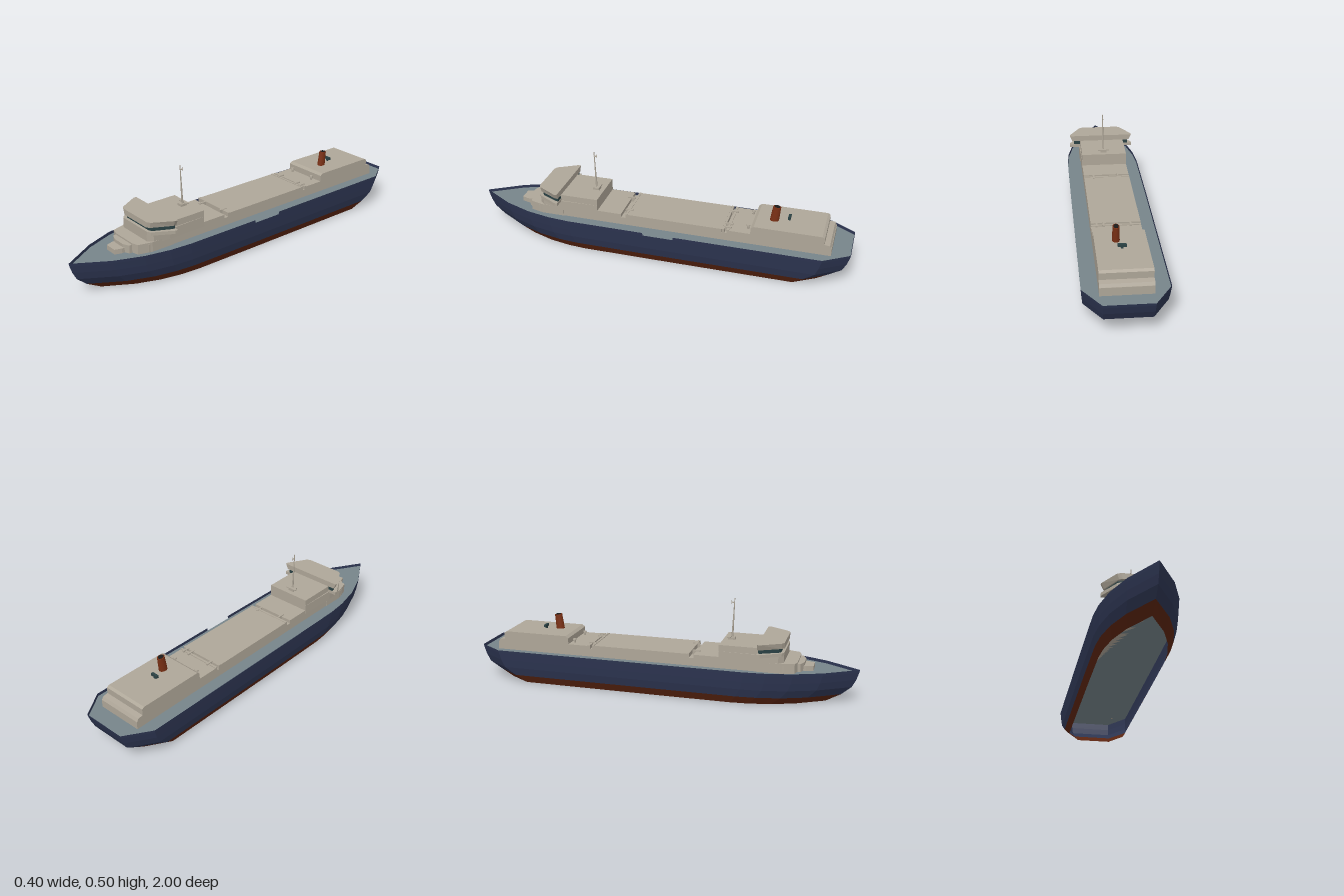
import * as THREE from 'three';

const mat = (name, color) => {
  const m = new THREE.MeshStandardMaterial({ color, side: THREE.DoubleSide });
  m.name = name;
  return m;
};

export function createModel() {
  const ship = new THREE.Group();
  ship.name = 'ship';
  const navy = mat('navy', 0x2c3450);
  const red = mat('antifouling red', 0x5a2410);
  const grey = mat('deck grey', 0x76848a);
  const cream = mat('cream', 0xaea698);
  const glass = mat('dark teal', 0x2a4144);
  const rust = mat('funnel rust', 0x7a3014);
  const black = mat('black', 0x191919);

  const add = (name, geo, material, x = 0, y = 0, z = 0) => {
    const m = new THREE.Mesh(geo, material);
    m.name = name;
    m.position.set(x, y, z);
    ship.add(m);
    return m;
  };
  const box = (name, material, x0, x1, y0, y1, z0, z1) => add(name,
    new THREE.BoxGeometry(x1 - x0, y1 - y0, z1 - z0), material,
    (x0 + x1) / 2, (y0 + y1) / 2, (z0 + z1) / 2);
  const rod = (name, material, r0, r1, h, x, y, z, sides = 8) => add(name,
    new THREE.CylinderGeometry(r1, r0, h, sides), material, x, y + h / 2, z);

  // Half outlines are [x, z] from stern to bow, mirrored into closed plans
  const mirror = half => [...half, ...half.filter(p => p[0] > 0).reverse().map(([x, z]) => [-x, z])];
  const planShape = half => new THREE.Shape(mirror(half).map(([x, z]) => new THREE.Vector2(x, -z)));
  const slab = (name, material, half, y0, y1, x = 0) => {
    const g = new THREE.ExtrudeGeometry(planShape(half), { depth: y1 - y0, bevelEnabled: false });
    g.rotateX(-Math.PI / 2);
    return add(name, g, material, x, y0, 0);
  };

  // Hull: horizontal rings lofted into an open shell
  const ring = (w, bow, stern) => [
    [0.115 * w, stern], [0.2 * w, stern * 0.87], [0.2 * w, -0.12], [0.2 * w, 0.04],
    [0.198 * w, bow * 0.45], [0.188 * w, bow * 0.56], [0.16 * w, bow * 0.69],
    [0.105 * w, bow * 0.83], [0, bow],
  ];
  const levels = [
    [0, 0.8, 0.84, -0.84], [0.042, 0.91, 0.915, -0.9], [0.085, 0.96, 0.965, -0.965],
    [0.125, 0.98, 0.985, -0.985], [0.163, 0.995, 0.997, -0.997], [0.178, 1, 1, -1],
  ].map(([y, w, b, s]) => mirror(ring(w, b, s)).map(([x, z]) => [x, y, z]));
  const shell = (name, material, from, to, skip = -1) => {
    const pos = [];
    for (let l = from; l < to; l++) {
      const a = levels[l], b = levels[l + 1];
      for (let i = 0; i < a.length; i++) {
        if (i === skip) continue;
        const j = (i + 1) % a.length;
        pos.push(...a[i], ...b[j], ...a[j], ...a[i], ...b[i], ...b[j]);
      }
    }
    const g = new THREE.BufferGeometry();
    g.setAttribute('position', new THREE.Float32BufferAttribute(pos, 3));
    g.computeVertexNormals();
    // Turn the faces outward
    const p = g.attributes.position, n = g.attributes.normal;
    if (p.getX(6) * n.getX(6) + p.getZ(6) * n.getZ(6) < 0) {
      for (let t = 0; t < pos.length; t += 9)
        for (let k = 0; k < 3; k++) [pos[t + k], pos[t + 3 + k]] = [pos[t + 3 + k], pos[t + k]];
      g.setAttribute('position', new THREE.Float32BufferAttribute(pos, 3));
      g.computeVertexNormals();
    }
    add(name, g, material);
  };
  shell('lowerHull', red, 0, 1);
  shell('upperHull', navy, 1, 4);
  shell('bulwark', navy, 4, 5, 2); // gap is the boarding gate

  // Main deck, recessed inside the bulwark
  const deck = new THREE.ShapeGeometry(planShape(ring(0.995, 0.997, -0.997)));
  deck.rotateX(-Math.PI / 2);
  add('deck', deck, grey, 0, 0.163, 0);

  // Long low trunk carrying all the deckhouses
  const W = 0.122;
  box('trunk', cream, -W, W, 0.163, 0.204, -0.905, 0.64);
  slab('foreHouse', cream, [[0.125, 0.5], [0.125, 0.62], [0.105, 0.69], [0.07, 0.7]], 0.163, 0.213);
  slab('foreStep', cream, [[0.07, 0.6], [0.07, 0.715], [0.035, 0.73]], 0.163, 0.205);
  slab('forePlatform', cream, [[0.045, 0.6], [0.045, 0.74], [0.033, 0.775]], 0.163, 0.188);

  // Forward house and winged bridge
  slab('bridgeHouse', cream, [[0.123, 0.31], [0.128, 0.52], [0.122, 0.61], [0.1, 0.635]], 0.2, 0.252);
  box('houseTop', cream, -W, W, 0.25, 0.285, 0.31, 0.52);
  const wing = k => [[0.176 * k, 0.51], [0.176 * k, 0.525], [0.118 * k, 0.625], [0.1 * k, 0.635]];
  slab('bridgeWings', cream, wing(1), 0.248, 0.265, 0.005);
  slab('bridgeWindows', glass, [[0.153, 0.512], [0.153, 0.525], [0.11, 0.61], [0.095, 0.62]], 0.265, 0.286, 0.005);
  // Roof flares outward from the windows
  const roof = slab('bridgeRoof', cream, wing(1), 0.285, 0.315, 0.005);
  const rp = roof.geometry.attributes.position;
  for (let i = 0; i < rp.count; i++) if (rp.getY(i) < 0.01) rp.setX(i, rp.getX(i) * 0.92);
  roof.geometry.computeVertexNormals();
  for (const s of [-1, 1]) rod('wingSupport', cream, 0.004, 0.004, 0.085, s * 0.121, 0.163, 0.53);

  // Cargo hatch and the decks at either end of it
  box('foreDeckhouse', cream, -W, W, 0.2, 0.222, 0.18, 0.32);
  box('hatchCover', cream, -W, W, 0.2, 0.224, -0.355, 0.155);
  box('aftDeckhouse', cream, -W, W, 0.2, 0.22, -0.51, -0.38);
  for (const [z, y] of [[0.15, 0.226], [-0.362, 0.226], [-0.385, 0.224]])
    box('hatchBeam', cream, -W, W, 0.204, y, z - 0.006, z + 0.006);
  for (const [x, z] of [[-0.06, 0.18], [0.07, 0.15], [-0.07, -0.38], [0.06, -0.38], [0.095, -0.38]])
    box('hatchStay', cream, x - 0.005, x + 0.005, 0.204, 0.228, z - 0.02, z + 0.02);
  for (const x of [-0.08, 0.07]) {
    rod('ventPipe', cream, 0.006, 0.006, 0.02, x, 0.22, -0.48);
    rod('ventCap', cream, 0.01, 0.008, 0.008, x, 0.235, -0.48);
  }

  // Aft house with a ledge round its stern end, drawn as a side profile
  const side = new THREE.Shape([
    [0.5, 0.2], [0.5, 0.252], [0.515, 0.263], [0.855, 0.263], [0.868, 0.255],
    [0.868, 0.222], [0.895, 0.218], [0.905, 0.2],
  ].map(p => new THREE.Vector2(...p)));
  const aft = new THREE.ExtrudeGeometry(side, { depth: 2 * W, bevelEnabled: false });
  aft.rotateY(Math.PI / 2);
  add('aftHouse', aft, cream, -W, 0, 0);

  // Raked oval funnel with a dark mouth
  const funnel = rod('funnel', rust, 0.023, 0.02, 0.08, 0.022, 0.261, -0.607, 16);
  funnel.scale.x = 0.8;
  funnel.rotation.x = -0.12;
  const mouth = rod('funnelMouth', black, 0.015, 0.015, 0.003, 0.022, 0.34, -0.612, 16);
  mouth.scale.x = 0.8;
  mouth.rotation.x = -0.12;
  box('funnelPost', glass, -0.006, 0.006, 0.26, 0.275, -0.68, -0.67);
  box('funnelLocker', glass, -0.02, 0.02, 0.272, 0.285, -0.682, -0.669);

  // Mast on its small platform
  box('mastFoot', cream, -0.014, 0.018, 0.285, 0.297, 0.335, 0.37);
  box('mastPlatform', cream, -0.03, 0.032, 0.297, 0.302, 0.333, 0.35);
  const mast = rod('mast', cream, 0.0055, 0.002, 0.215, 0.004, 0.285, 0.357);
  mast.rotation.x = 0.04;
  box('mastArm', cream, 0.001, 0.007, 0.475, 0.479, 0.345, 0.362);
  rod('antenna', cream, 0.0015, 0.0015, 0.02, 0.004, 0.468, 0.346, 6);

  return ship;
}
